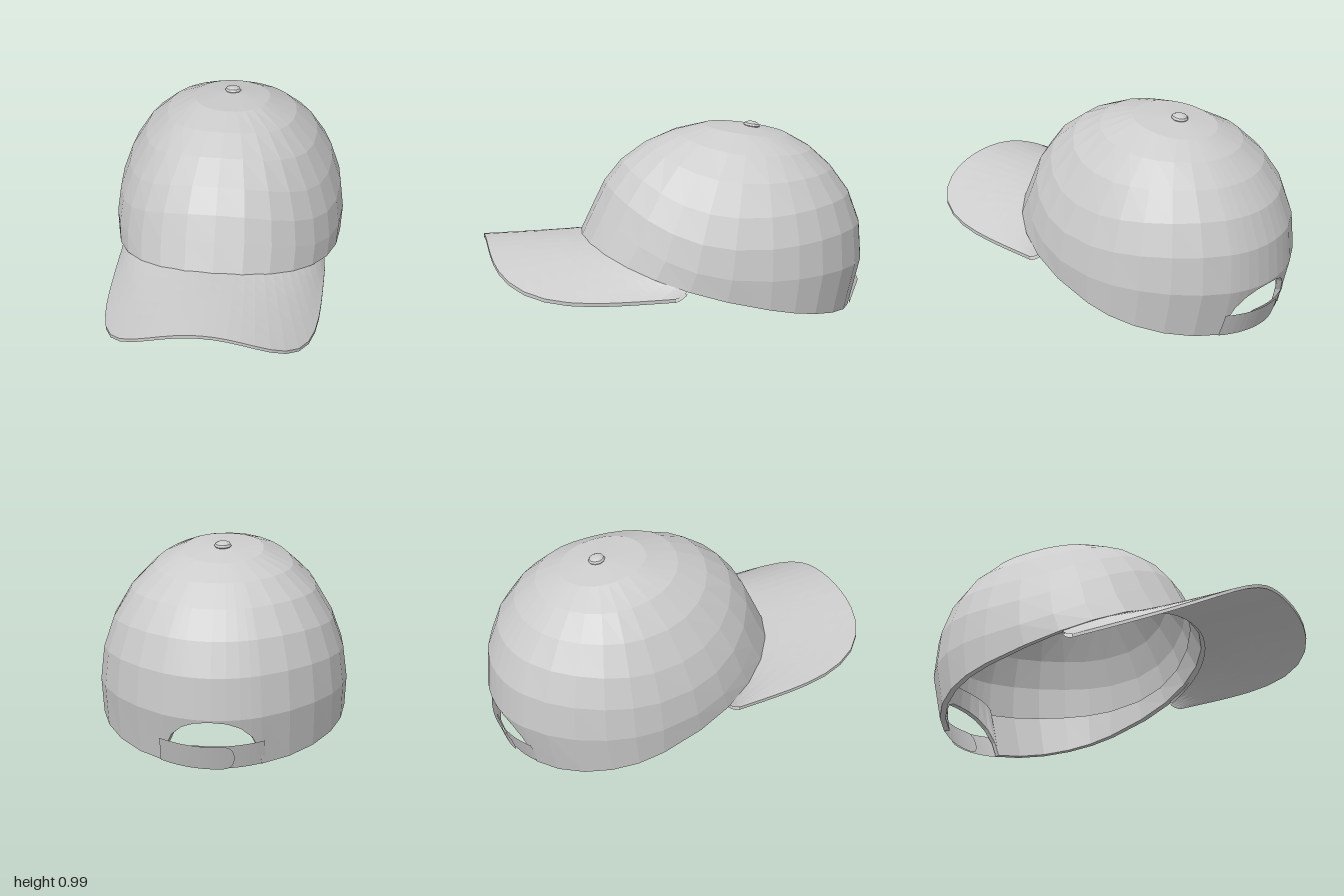
import * as THREE from 'three';

const material = new THREE.MeshStandardMaterial({ color: 0xcccccc, flatShading: true, side: THREE.DoubleSide });
const { lerp, degToRad } = THREE.MathUtils;

// Flat-shaded sheet from rows of points: at(i, j) gives [x, y, z]
function sheet(name, nu, nv, at) {
  const pos = [], index = [];
  for (let j = 0; j <= nv; j++) for (let i = 0; i <= nu; i++) pos.push(...at(i, j));
  for (let j = 0; j < nv; j++) {
    for (let i = 0; i < nu; i++) {
      const a = j * (nu + 1) + i, b = a + 1, d = a + nu + 1, c = d + 1;
      index.push(a, d, c, a, c, b);
    }
  }
  let geo = new THREE.BufferGeometry();
  geo.setAttribute('position', new THREE.Float32BufferAttribute(pos, 3));
  geo.setIndex(index);
  geo = geo.toNonIndexed();
  geo.computeVertexNormals();
  const mesh = new THREE.Mesh(geo, material);
  mesh.name = name;
  return mesh;
}

// Crown rings from rim to apex: front z, front y, back z, back y, half width, side y
const RINGS = [
  [0.50, 0.425, -0.935, 0.005, 0.612, 0.148],
  [0.43, 0.57, -1.00, 0.26, 0.62, 0.30],
  [0.37, 0.69, -0.985, 0.46, 0.60, 0.46],
  [0.28, 0.80, -0.925, 0.62, 0.548, 0.61],
  [0.15, 0.89, -0.83, 0.75, 0.46, 0.76],
  [0.00, 0.95, -0.72, 0.85, 0.345, 0.875],
  [-0.16, 0.98, -0.60, 0.92, 0.20, 0.95],
  [-0.40, 0.97, -0.40, 0.97, 0, 0.97],
];

// Point on the crown; deg runs round from the back (0) over +x (90) to the front (180)
function crownPoint(deg, v) {
  const j = Math.min(Math.floor(v), RINGS.length - 2);
  const [zf, yf, zb, yb, w, ym] = RINGS[j].map((p, k) => lerp(p, RINGS[j + 1][k], v - j));
  const zc = -0.35 - 0.05 * v / 7;
  const s = Math.sin(degToRad(deg)), c = -Math.cos(degToRad(deg));
  const e = c > 0 ? 0.91 : 1;
  const x = w * Math.sign(s) * Math.abs(s) ** e;
  const z = c > 0 ? zc + (zf - zc) * c ** e : zc + (zc - zb) * c;
  const span = Math.max(zf - zb, 1e-6);
  const u = (z - zb) / span, um = (zc - zb) / span;
  const sag = zf - zb > 1e-6 ? (ym - lerp(yb, yf, um)) / (um * um * (1 - um)) : 0;
  return [x, lerp(yb, yf, u) + sag * u * u * (1 - u), z];
}

// Columns, closer together around the opening at the back
const HALF = [0, 7, 13, 18, 21.5, 22.5, 36, 50, 64, 77, 90, 103, 116, 129, 142, 155, 168, 180];
const COLUMNS = [...HALF.slice(1).reverse().map((d) => -d), ...HALF];

// How far the back opening lifts the rim
function opening(deg) {
  const d = Math.abs(deg) / 22.5;
  return d < 1 ? 0.96 * Math.sqrt(1 - d ** 2.4) : 0;
}

function inset([x, y, z], amount) {
  const dx = x, dz = z + 0.38, l = Math.hypot(dx, dz);
  return [x - dx / l * amount, y, z - dz / l * amount];
}

// Bill: a curved plate between the crown rim and a rounded outline, with top, edge and underside
function billPoint(s, t, drop) {
  const [ix, iy, iz] = inset(crownPoint(180 - 63 * s, 0), 0.012);
  const a = degToRad(90 * s);
  const r = (Math.abs(Math.sin(a)) ** 4 + Math.abs(Math.cos(a)) ** 4) ** -0.25;
  const arch = (x) => 0.435 - 0.71 * x * x;
  const x = lerp(ix, 0.55 * r * Math.sin(a), t);
  const z = lerp(iz, 0.12 + 0.88 * r * Math.cos(a), t);
  return [x, arch(x) + (iy - arch(ix)) * (1 - t) ** 2 - drop, z];
}

// Strap half from x0 to a rounded end at x1
function strap(name, x0, x1, shift) {
  const n = 16, r = 0.06;
  return sheet(name, n, 4, (i, j) => {
    const x = lerp(x0, x1, Math.sin(i / n * Math.PI / 2));
    const d = Math.max(0, 1 - Math.abs(x1 - x) / r);
    const h = 0.5 + (j / 4 - 0.5) * Math.sqrt(Math.max(0, 1 - d * d * d));
    const q = (x / 0.24) ** 2;
    return [x, 0.003 + 0.016 * q + 0.125 * h, -0.945 + 0.055 * q - 0.042 * h + shift];
  });
}

export function createModel() {
  const cap = new THREE.Group();
  cap.name = 'cap';
  const n = COLUMNS.length - 1;

  cap.add(sheet('crown', n, 7, (i, j) => crownPoint(COLUMNS[i], j || opening(COLUMNS[i]))));

  // Inner band with the turned-in rim
  cap.add(sheet('sweatband', n, 2, (i, j) => {
    const deg = COLUMNS[i], rim = opening(deg);
    if (j === 2) return crownPoint(deg, rim);
    return inset(crownPoint(deg, j === 0 ? 1 + 0.5 * rim : rim), 0.03);
  }));

  const steps = 6;
  cap.add(sheet('bill', 28, steps * 2 + 1, (i, j) => {
    const top = j <= steps;
    return billPoint(i / 14 - 1, (top ? j : steps * 2 + 1 - j) / steps, top ? 0 : 0.018);
  }));

  cap.add(strap('outerStrap', 0.25, -0.11, -0.006));
  cap.add(strap('innerStrap', -0.25, 0.12, 0.006));

  const button = new THREE.Mesh(new THREE.SphereGeometry(0.043, 10, 6), material);
  button.name = 'button';
  button.scale.y = 0.5;
  button.position.set(0, 0.969, -0.41);
  button.rotation.x = -0.15;
  cap.add(button);
  return cap;
}
